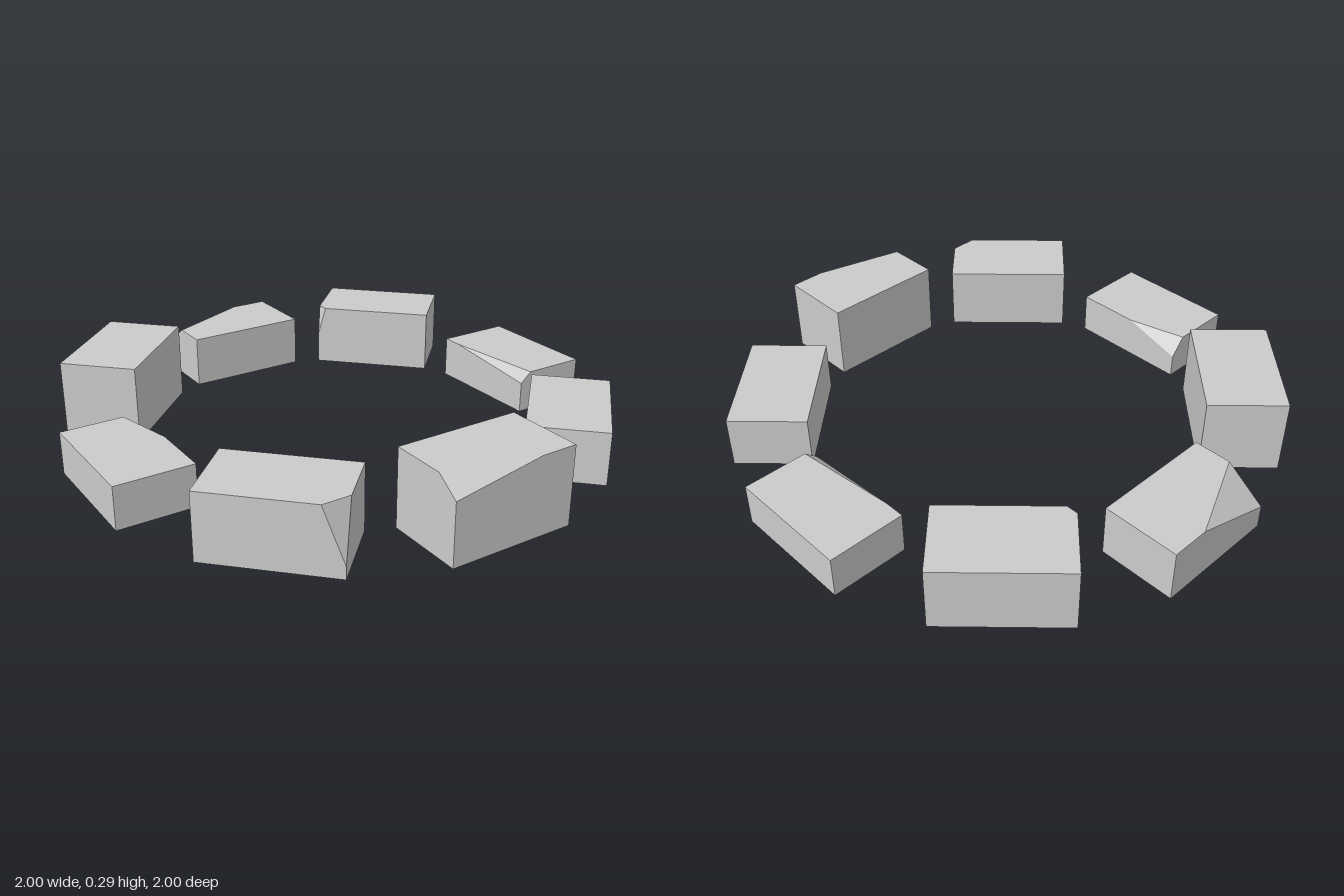
import * as THREE from 'three';
import { ConvexGeometry } from 'three/addons/geometries/ConvexGeometry.js';

const WIDTH = 0.475, DEPTH = 0.292, RADIUS = 0.854;

// Stone block standing on y = 0, with an optional broken top corner.
// chip: side (x sign), face (z sign), cut = lengths broken off along x, y, z
function blockGeometry(height, chip) {
  const points = [];
  for (const sx of [-1, 1]) for (const sz of [-1, 1]) {
    const x = sx * WIDTH / 2, z = sz * DEPTH / 2;
    points.push(new THREE.Vector3(x, 0, z));
    if (chip && chip.side === sx && chip.face === sz) {
      const [cx, cy, cz] = chip.cut;
      points.push(
        new THREE.Vector3(x - sx * cx, height, z),
        new THREE.Vector3(x, height - cy, z),
        new THREE.Vector3(x, height, z - sz * cz));
    } else {
      points.push(new THREE.Vector3(x, height, z));
    }
  }
  return new ConvexGeometry(points);
}

export function createModel() {
  const model = new THREE.Group();
  model.name = 'stoneRing';
  const material = new THREE.MeshStandardMaterial({ color: 0xcccccc, flatShading: true });

  // Blocks in order around the ring, starting at the front and turning towards +x
  const blocks = [
    { name: 'frontStone', height: 0.29, chip: { side: -1, face: 1, cut: [0.34, 0.06, 0.085] } },
    { name: 'frontLeftStone', height: 0.2 },
    { name: 'leftStone', height: 0.16, chip: { side: -1, face: -1, cut: [0.4, 0.04, 0.045] } },
    { name: 'backLeftStone', height: 0.245, chip: { side: 1, face: -1, cut: [0.033, 0.12, 0.033] } },
    { name: 'backStone', height: 0.2, chip: { side: 1, face: 1, cut: [0.33, 0.11, 0.15] } },
    { name: 'backRightStone', height: 0.29 },
    { name: 'rightStone', height: 0.16, chip: { side: -1, face: -1, cut: [0.23, 0.07, 0.055] } },
    { name: 'frontRightStone', height: 0.245, chip: { side: 1, face: 1, cut: [0.075, 0.2, 0.075] } },
  ];

  blocks.forEach(({ name, height, chip }, i) => {
    const angle = i * Math.PI / 4;
    const stone = new THREE.Mesh(blockGeometry(height, chip), material);
    stone.name = name;
    stone.position.set(Math.sin(angle) * RADIUS, 0, Math.cos(angle) * RADIUS);
    stone.rotation.y = angle;
    model.add(stone);
  });
  return model;
}
